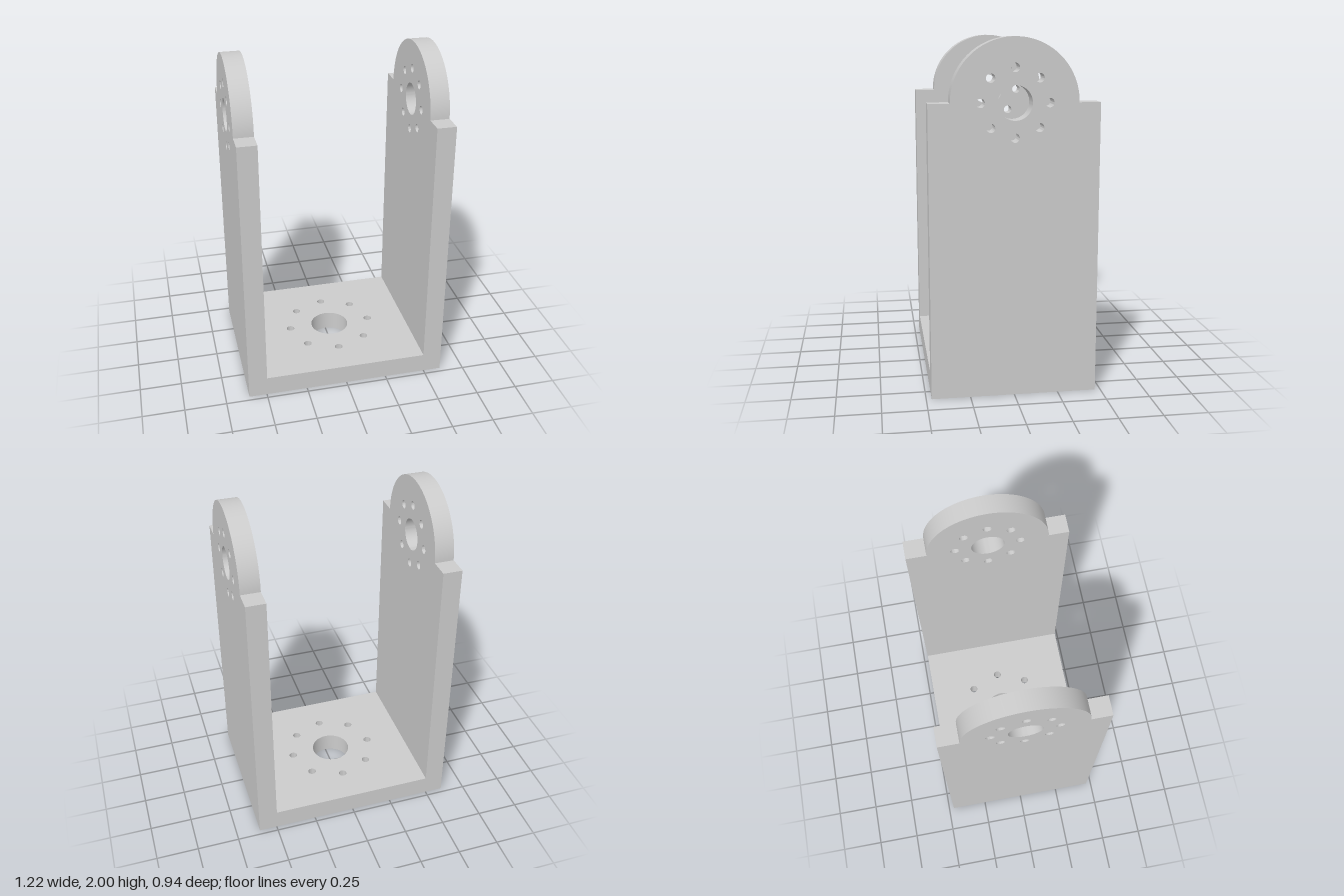
import * as THREE from 'three';
import { toCreasedNormals } from 'three/addons/utils/BufferGeometryUtils.js';

const HALF_WIDTH = 0.608, HALF_DEPTH = 0.469, INNER = 0.495;
const BASE_HEIGHT = 0.12, AXIS_Y = 1.65, LUG_RADIUS = 0.35;

// Central bore surrounded by a ring of eight bolt holes
function addHolePattern(shape, cx, cy, bore, ring, bolt) {
  const addHole = (x, y, r) =>
    shape.holes.push(new THREE.Path().absarc(x, y, r, 0, Math.PI * 2, true));
  addHole(cx, cy, bore);
  for (let i = 0; i < 8; i++) {
    const a = (i * Math.PI) / 4;
    addHole(cx + ring * Math.cos(a), cy + ring * Math.sin(a), bolt);
  }
}

function extrude(shape, depth) {
  return new THREE.ExtrudeGeometry(shape, { depth, bevelEnabled: false, curveSegments: 32 });
}

export function createModel() {
  const group = new THREE.Group();
  group.name = 'bracket';
  const material = new THREE.MeshStandardMaterial({ color: 0xcccccc });

  const addPart = (name, geometry) => {
    const mesh = new THREE.Mesh(toCreasedNormals(geometry, Math.PI / 6), material);
    mesh.name = name;
    group.add(mesh);
  };

  // Base plate between the two arms
  const base = new THREE.Shape();
  base.moveTo(-INNER, -HALF_DEPTH);
  base.lineTo(INNER, -HALF_DEPTH);
  base.lineTo(INNER, HALF_DEPTH);
  base.lineTo(-INNER, HALF_DEPTH);
  base.closePath();
  addPart('basePlate', (() => {
    addHolePattern(base, 0, 0, 0.118, 0.26, 0.0245);
    return extrude(base, BASE_HEIGHT).rotateX(-Math.PI / 2);
  })());

  // Arm outline: straight plate, square shoulders and a half-round lug
  const arm = new THREE.Shape();
  arm.moveTo(-HALF_DEPTH, 0);
  arm.lineTo(HALF_DEPTH, 0);
  arm.lineTo(HALF_DEPTH, AXIS_Y);
  arm.lineTo(LUG_RADIUS, AXIS_Y);
  arm.absarc(0, AXIS_Y, LUG_RADIUS, 0, Math.PI, false);
  arm.lineTo(-HALF_DEPTH, AXIS_Y);
  arm.closePath();
  addHolePattern(arm, 0, AXIS_Y, 0.095, 0.188, 0.025);

  // Matching arms on both sides
  const thickness = HALF_WIDTH - INNER;
  for (const [name, x] of [['leftArm', INNER], ['rightArm', -HALF_WIDTH]]) {
    addPart(name, extrude(arm, thickness).rotateY(Math.PI / 2).translate(x, 0, 0));
  }

  return group;
}
